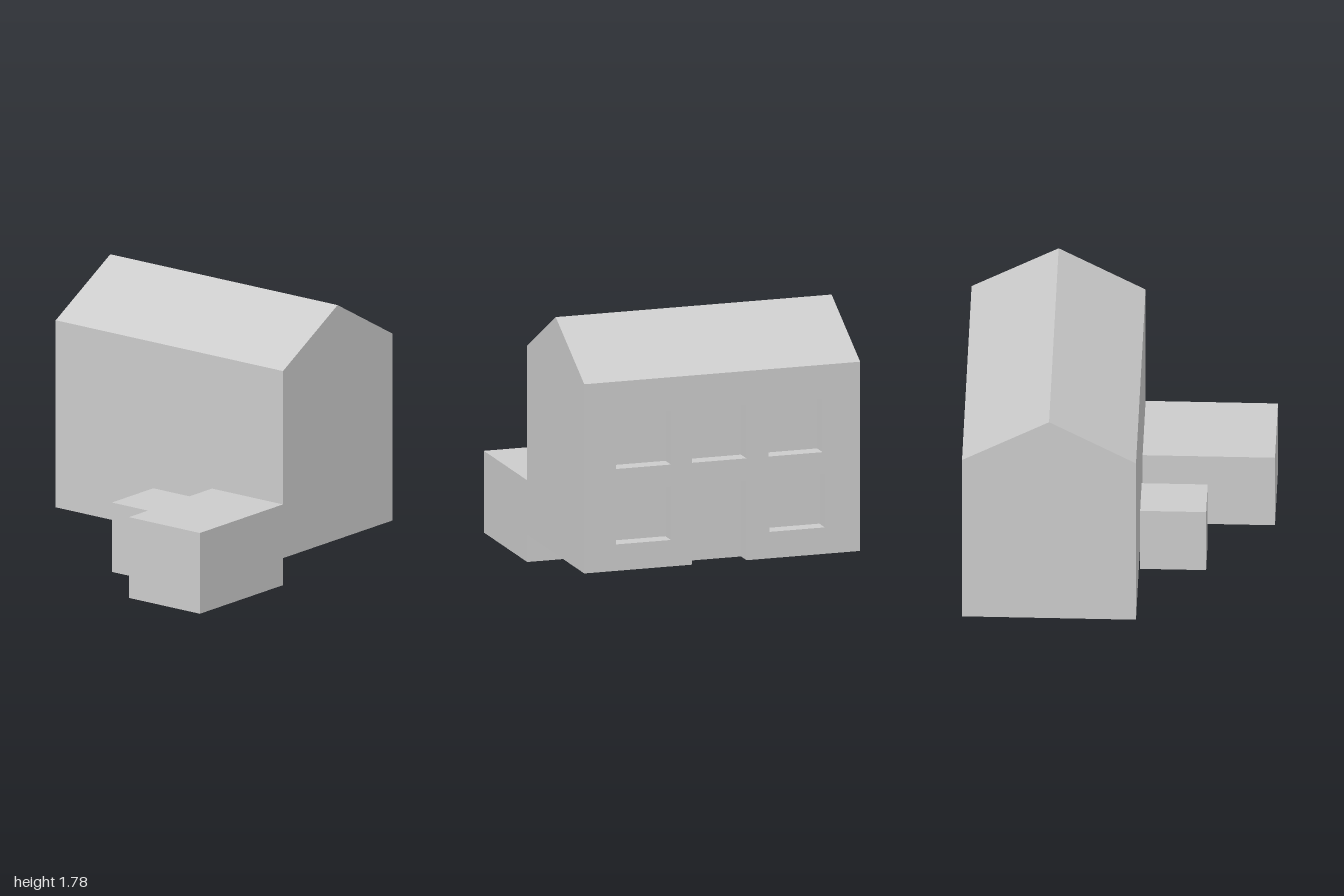
import * as THREE from 'three';

const material = new THREE.MeshStandardMaterial({ color: 0xcccccc, flatShading: true, side: THREE.DoubleSide });

// Main house limits
const LEFT = 0.99, RIGHT = -0.143, RIDGE = 0.423;
const BASE = 0.193, EAVE = 1.46, TOP = 1.78, HALF = 0.95;
const RECESS = 0.11;

function addMesh(parent, name, geometry) {
  const mesh = new THREE.Mesh(geometry, material);
  mesh.name = name;
  parent.add(mesh);
  return mesh;
}

// Box between limits with some faces left out (order: +x -x +y -y +z -z)
function openBox(x, y, z, missing) {
  const g = new THREE.BoxGeometry(x[1] - x[0], y[1] - y[0], z[1] - z[0]);
  const kept = Array.from(g.index.array).filter((_, i) => !missing.includes(Math.floor(i / 6)));
  g.setIndex(kept);
  g.clearGroups();
  g.translate((x[0] + x[1]) / 2, (y[0] + y[1]) / 2, (z[0] + z[1]) / 2);
  return g;
}

// Sheet swept along z from an open profile of [x, y] points
function sweep(profile, z0, z1) {
  const pos = [];
  for (let i = 0; i < profile.length - 1; i++) {
    const [a, b] = [profile[i], profile[i + 1]];
    pos.push(...a, z0, ...b, z0, ...b, z1, ...a, z0, ...b, z1, ...a, z1);
  }
  const g = new THREE.BufferGeometry();
  g.setAttribute('position', new THREE.Float32BufferAttribute(pos, 3));
  g.computeVertexNormals();
  return g;
}

const polygon = (pts) => pts.map(([x, y]) => new THREE.Vector2(x, y));

export function createModel() {
  const model = new THREE.Group();
  model.name = 'house';

  // Gable ends
  const gable = new THREE.Shape(polygon([[RIGHT, BASE], [LEFT, BASE], [LEFT, EAVE], [RIDGE, TOP], [RIGHT, EAVE]]));
  addMesh(model, 'frontGable', new THREE.ShapeGeometry(gable)).position.z = HALF;
  const back = new THREE.ShapeGeometry(gable).scale(-1, 1, 1).rotateY(Math.PI);
  // scaling flips x and the half turn flips it back, so restore the facing
  back.setIndex(Array.from(back.index.array).reverse());
  back.computeVertexNormals();
  addMesh(model, 'backGable', back).position.z = -HALF;

  // Roof slopes and plain side wall
  addMesh(model, 'roof', sweep([[LEFT, EAVE], [RIDGE, TOP], [RIGHT, EAVE]], -HALF, HALF));
  addMesh(model, 'plainWall', sweep([[RIGHT, EAVE], [RIGHT, BASE]], -HALF, HALF));

  // Window openings as [z range, y range]
  const upper = [0.875, 1.235], lower = [0.37, 0.73];
  const windows = [
    [[0.353, 0.733], upper], [[-0.167, 0.208], upper], [[-0.692, -0.317], upper],
    [[0.353, 0.733], lower], [[-0.707, -0.327], lower],
  ];
  const doorZ = [-0.167, 0.208], doorTop = 0.725;

  // Window wall, drawn with -z to the right, with a notch for the door
  const wall = new THREE.Shape(polygon([
    [-HALF, BASE], [-doorZ[1], BASE], [-doorZ[1], doorTop], [-doorZ[0], doorTop], [-doorZ[0], BASE],
    [HALF, BASE], [HALF, EAVE], [-HALF, EAVE],
  ]));
  for (const [z, y] of windows) {
    wall.holes.push(new THREE.Path(polygon([[-z[1], y[0]], [-z[1], y[1]], [-z[0], y[1]], [-z[0], y[0]]])));
  }
  addMesh(model, 'windowWall', new THREE.ShapeGeometry(wall).rotateY(Math.PI / 2)).position.x = LEFT;

  // Recesses behind the openings
  const depth = [LEFT - RECESS, LEFT];
  windows.forEach(([z, y], i) => addMesh(model, `windowRecess${i + 1}`, openBox(depth, y, z, [0])));
  addMesh(model, 'doorRecess', openBox(depth, [BASE, doorTop], doorZ, [0, 3]));

  // Annexes, open underneath
  addMesh(model, 'largeAnnex', openBox([-1.005, RIGHT], [0.01, 0.557], [0.357, HALF], [3]));
  addMesh(model, 'smallAnnex', openBox([-0.573, RIGHT], [0, 0.47], [-0.134, 0.168], [3]));

  // The whole building stands turned by a fraction of a degree
  model.rotation.y = 0.008;
  return model;
}
